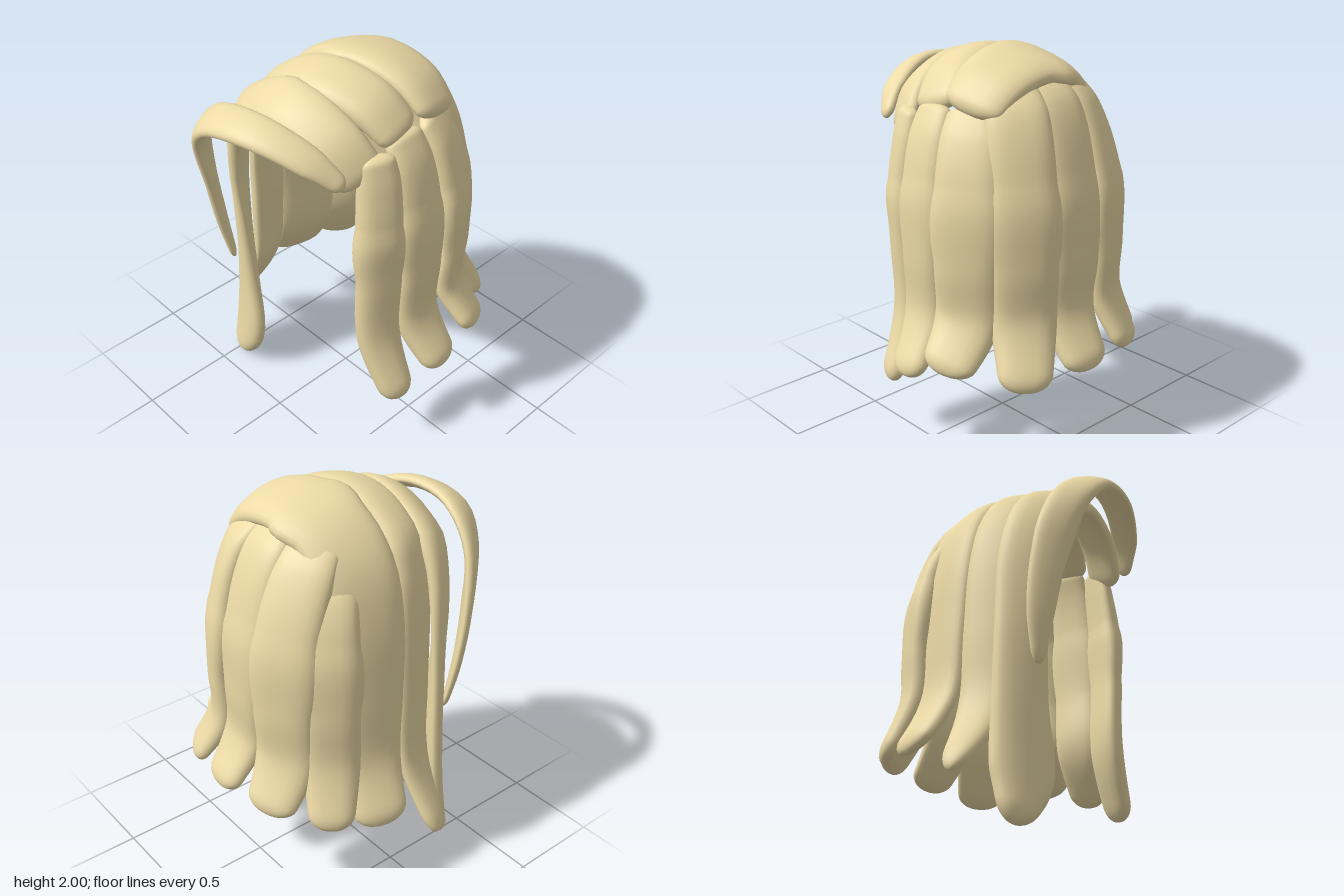
import * as THREE from 'three';

const material = new THREE.MeshStandardMaterial({ color: 0xecdaa6 });

// One solid lock swept along a path. Points: [x, y, z, halfWidth, halfThickness, twist]
function lock(name, points, cap = 0.035) {
  const path = new THREE.CatmullRomCurve3(points.map(p => new THREE.Vector3(p[0], p[1], p[2])));
  const size = new THREE.CatmullRomCurve3(points.map(p => new THREE.Vector3(p[3], p[4], p[5] || 0)));
  const rings = 48, sides = 24, pos = [], index = [];
  const soft = (v, e) => Math.sign(v) * Math.pow(Math.abs(v), e);
  for (let i = 0; i <= rings; i++) {
    const s = 0.5 - 0.5 * Math.cos(Math.PI * i / rings);
    const p = path.getPoint(s), t = path.getTangent(s), d = size.getPoint(s);
    // outward direction: radial on the sides, blending upward over the crown
    const rise = p.y - 1.28;
    const outward = new THREE.Vector3(p.x, 0.5 * (rise + Math.sqrt(rise * rise + 0.03)), p.z);
    const side = t.clone().cross(outward).normalize().applyAxisAngle(t, d.z);
    const normal = side.clone().cross(t);
    // rounded ends
    const k = Math.min(1, Math.min(s, 1 - s) / cap);
    const round = Math.pow(Math.max(0, 1 - (1 - k) ** 2), 0.45);
    for (let j = 0; j < sides; j++) {
      const a = j / sides * Math.PI * 2;
      const u = soft(Math.cos(a), 0.8) * d.x * round;
      const v = soft(Math.sin(a), 0.9) * d.y * round * (Math.sin(a) > 0 ? 1 : 0.65);
      const q = p.clone().addScaledVector(side, u).addScaledVector(normal, v);
      pos.push(q.x, q.y, q.z);
      if (i < rings) {
        const n = (j + 1) % sides, A = i * sides + j, B = i * sides + n;
        index.push(A, A + sides, B, B, A + sides, B + sides);
      }
    }
  }
  const g = new THREE.BufferGeometry();
  g.setAttribute('position', new THREE.Float32BufferAttribute(pos, 3));
  g.setIndex(index);
  g.computeVertexNormals();
  const mesh = new THREE.Mesh(g, material);
  mesh.name = name;
  return mesh;
}

export function createModel() {
  const hair = new THREE.Group();
  hair.name = 'hair';

  // Locks swept over the crown and down the right side
  hair.add(
    lock('crownLock', [
      [0.41, 1.74, -0.21, 0.15, 0.05], [0.25, 1.865, -0.2, 0.18, 0.07], [0.03, 1.915, -0.17, 0.205, 0.07],
      [-0.17, 1.865, -0.15, 0.205, 0.07], [-0.33, 1.7, -0.13, 0.2, 0.07], [-0.41, 1.42, -0.12, 0.19, 0.07],
      [-0.445, 1.05, -0.12, 0.17, 0.06], [-0.47, 0.7, -0.13, 0.16, 0.06], [-0.62, 0.41, -0.17, 0.14, 0.05]]),
    lock('upperFringeLock', [
      [0.41, 1.72, 0.03, 0.12, 0.05], [0.25, 1.86, 0.09, 0.14, 0.07], [0.03, 1.91, 0.15, 0.145, 0.07],
      [-0.17, 1.85, 0.17, 0.14, 0.07], [-0.33, 1.68, 0.17, 0.14, 0.07], [-0.41, 1.4, 0.16, 0.14, 0.06],
      [-0.44, 1.0, 0.15, 0.13, 0.06], [-0.48, 0.6, 0.15, 0.12, 0.05], [-0.69, 0.24, 0.15, 0.06, 0.04]]),
    lock('lowerFringeLock', [
      [0.41, 1.59, 0.28, 0.13, 0.04], [0.27, 1.76, 0.33, 0.13, 0.06], [0.03, 1.85, 0.365, 0.135, 0.06],
      [-0.17, 1.79, 0.37, 0.135, 0.06], [-0.33, 1.63, 0.36, 0.135, 0.06], [-0.41, 1.35, 0.34, 0.13, 0.05],
      [-0.42, 1.0, 0.33, 0.13, 0.05, -0.2], [-0.42, 0.6, 0.32, 0.14, 0.06, -0.4],
      [-0.42, 0.25, 0.33, 0.16, 0.07, -0.5], [-0.5, 0.01, 0.35, 0.07, 0.05, -0.5]]),
    lock('looseFrontLock', [
      [0.41, 1.62, 0.4, 0.04, 0.03, 0.2], [0.29, 1.74, 0.49, 0.075, 0.035, 0.4], [0.06, 1.825, 0.585, 0.09, 0.04, 0.4],
      [-0.2, 1.79, 0.615, 0.1, 0.04, 0.4], [-0.36, 1.63, 0.58, 0.1, 0.04, 0.2], [-0.43, 1.33, 0.51, 0.09, 0.035],
      [-0.44, 1.04, 0.46, 0.07, 0.03], [-0.41, 0.77, 0.42, 0.03, 0.02]]));

  // Hanging locks: root, shoulder, upper, middle, lower, tip, with half width
  const hanging = [
    ['leftFrontLock', [[0.41, 1.71, 0.21], [0.435, 1.56, 0.21], [0.455, 1.35, 0.22], [0.46, 1.05, 0.22], [0.46, 0.65, 0.21], [0.6, 0.3, 0.19]], 0.115],
    ['leftMiddleLock', [[0.39, 1.75, 0.03], [0.45, 1.6, 0.02], [0.49, 1.4, 0.01], [0.515, 1.05, 0], [0.515, 0.72, 0], [0.68, 0.44, -0.04]], 0.135],
    ['leftRearLock', [[0.34, 1.76, -0.18], [0.41, 1.61, -0.23], [0.46, 1.4, -0.265], [0.485, 1.05, -0.28], [0.485, 0.76, -0.27], [0.66, 0.54, -0.3]], 0.165],
    ['backLeftLock', [[0.2, 1.85, -0.25], [0.25, 1.72, -0.36], [0.29, 1.42, -0.44], [0.305, 1.05, -0.475], [0.305, 0.76, -0.475], [0.41, 0.47, -0.6]], 0.165],
    ['backMiddleLock', [[0.02, 1.87, -0.25], [0.02, 1.74, -0.38], [0.02, 1.42, -0.48], [0.025, 1.05, -0.515], [0.05, 0.76, -0.515], [0.06, 0.5, -0.68]], 0.16],
    ['backRightLock', [[-0.2, 1.83, -0.24], [-0.22, 1.7, -0.34], [-0.24, 1.42, -0.45], [-0.25, 1.05, -0.485], [-0.25, 0.76, -0.485], [-0.28, 0.5, -0.63]], 0.165],
    ['rightRearLock', [[-0.27, 1.7, -0.22], [-0.33, 1.58, -0.28], [-0.375, 1.4, -0.32], [-0.41, 1.05, -0.34], [-0.42, 0.75, -0.34], [-0.52, 0.44, -0.42]], 0.145],
  ];
  const widths = [0.75, 0.93, 1, 1, 0.97, 0.75], depths = [0.045, 0.065, 0.075, 0.075, 0.075, 0.055];
  for (const [name, path, w] of hanging)
    hair.add(lock(name, path.map((p, i) => [...p, w * widths[i], depths[i]]), 0.05));
  return hair;
}
